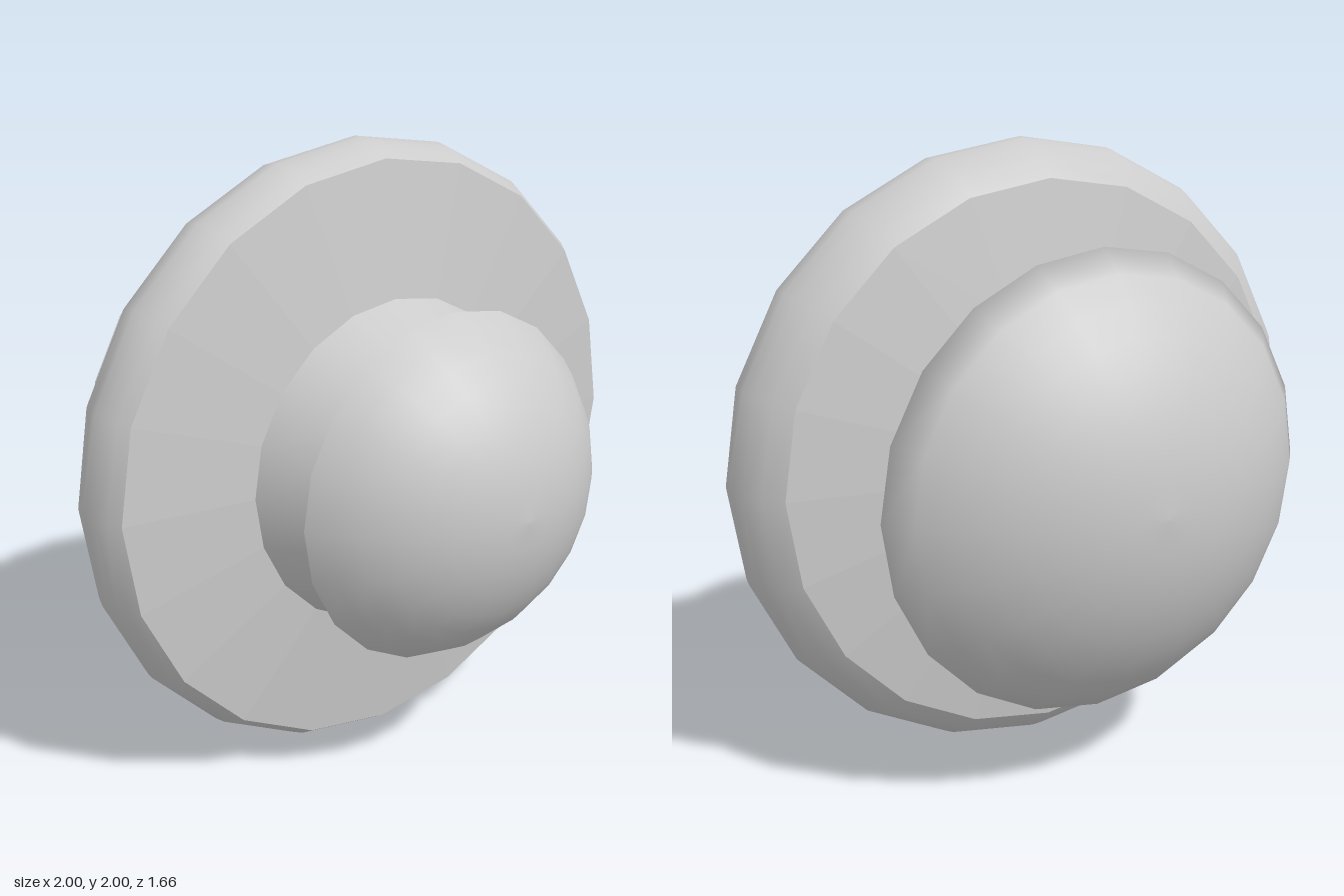
import * as THREE from 'three';

const SIDES = 20;

// Ring of surface turned about the z axis; points are [radius, z] from back to front
function turned(name, points, flatShading = false) {
  const profile = points.map(([r, z]) => new THREE.Vector2(r, z));
  const geometry = new THREE.LatheGeometry(profile, SIDES);
  geometry.rotateX(Math.PI / 2);
  const material = new THREE.MeshStandardMaterial({ color: 0xcccccc, flatShading, side: THREE.DoubleSide });
  const mesh = new THREE.Mesh(geometry, material);
  mesh.name = name;
  return mesh;
}

// Spherical cap profile from rim to apex
function capProfile(rimRadius, rimZ, apexZ, steps) {
  const height = Math.abs(apexZ - rimZ);
  const dir = Math.sign(apexZ - rimZ);
  const radius = (rimRadius ** 2 + height ** 2) / (2 * height);
  const centre = apexZ - dir * radius;
  const span = Math.acos((radius - height) / radius);
  return Array.from({ length: steps + 1 }, (_, i) => {
    const a = span * (1 - i / steps);
    return [i === steps ? 0 : radius * Math.sin(a), centre + dir * radius * Math.cos(a)];
  });
}

export function createModel() {
  const model = new THREE.Group();
  model.name = 'turnedKnob';

  // Rear mushroom cap, shaded smoothly across its rim
  const rearCap = capProfile(0.725, -0.465, -0.83, 8).reverse();
  model.add(turned('rearCap', [...rearCap, [0.5, -0.215]]));

  // Central wheel: shallow conical faces and a rounded rim
  model.add(turned('wheelBackFace', [[0.5, -0.215], [0.89, -0.157]], true));
  model.add(turned('wheelRim', [
    [0.89, -0.157], [0.945, -0.11], [0.982, -0.05], [0.998, 0],
    [1, 0.03], [0.992, 0.075], [0.975, 0.115], [0.95, 0.153],
  ]));
  model.add(turned('wheelFrontFace', [[0.95, 0.153], [0.53, 0.208]], true));

  // Tapered neck, flared lip and front dome
  model.add(turned('neck', [[0.53, 0.208], [0.443, 0.395]]));
  model.add(turned('lip', [[0.443, 0.395], [0.553, 0.49]], true));
  model.add(turned('frontDome', capProfile(0.553, 0.49, 0.83, 8)));

  model.position.y = 1;
  return model;
}
